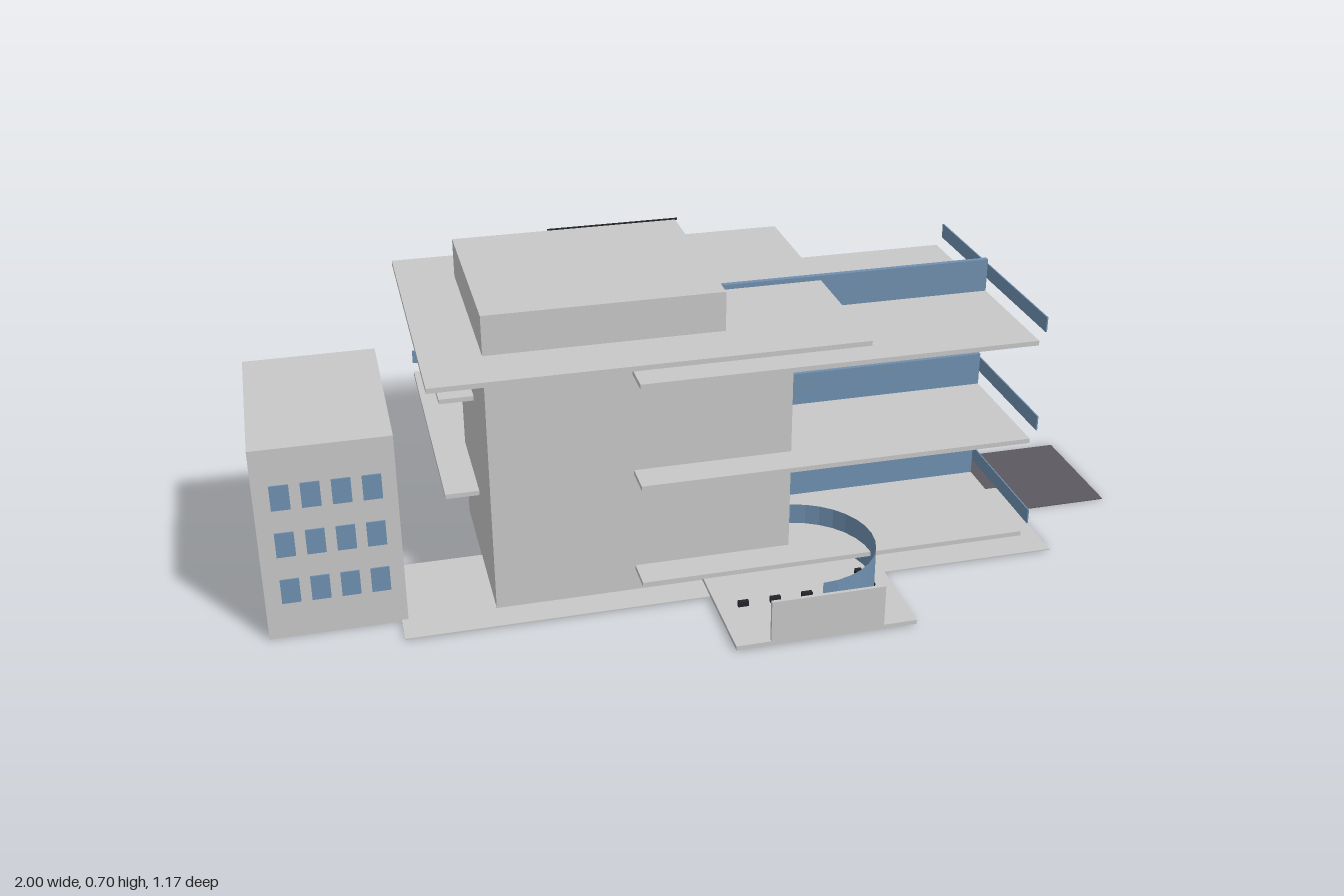
import * as THREE from 'three';

export function createModel() {
  const model = new THREE.Group();
  model.name = 'terracedBuilding';

  const material = (name, color) => {
    const m = new THREE.MeshStandardMaterial({ color });
    m.name = name;
    return m;
  };
  const concrete = material('concrete grey', 0xc8c8c8);
  const glass = material('glass blue', 0x7090b0);
  const asphalt = material('asphalt', 0x5c5a60);
  const metal = material('dark metal', 0x222428);
  const curvedGlass = material('curved glass blue', 0x7090b0);
  curvedGlass.side = THREE.DoubleSide;

  // Box given by its extents along x, y and z
  function block(name, mat, [x0, x1], [y0, y1], [z0, z1], parent = model) {
    const mesh = new THREE.Mesh(new THREE.BoxGeometry(x1 - x0, y1 - y0, z1 - z0), mat);
    mesh.position.set((x0 + x1) / 2, (y0 + y1) / 2, (z0 + z1) / 2);
    mesh.name = name;
    parent.add(mesh);
  }
  function group(name) {
    const g = new THREE.Group();
    g.name = name;
    model.add(g);
    return g;
  }

  // Ground
  block('road', asphalt, [0.21, 1], [0, 0.002], [-0.11, 0.18]);
  block('groundSlab', concrete, [-0.72, 0.77], [0.001, 0.004], [0.07, 0.37]);

  // Main volume, roof and penthouse
  block('core', concrete, [-0.513, 0.155], [0, 0.602], [-0.148, 0.3]);
  block('roofSlab', concrete, [-0.642, 0.285], [0.602, 0.613], [-0.277, 0.425]);
  block('penthouse', concrete, [-0.513, 0.003], [0.613, 0.702], [-0.148, 0.3]);

  // Side balconies with a dividing wall and an outer glass rail
  for (const y of [0.055, 0.295, 0.535]) {
    const g = group('sideBalcony');
    block('slab', concrete, [-0.2, 0.69], [y, y + 0.011], [-0.223, 0.375], g);
    block('divider', glass, [0, 0.69], [y + 0.011, y + 0.089], [0.07, 0.082], g);
    block('rail', glass, [0.703, 0.706], [y + 0.03, y + 0.065], [-0.223, 0.375], g);
  }

  // Rear balconies
  for (const y of [0.176, 0.414]) {
    const g = group('rearBalcony');
    block('slab', concrete, [-0.59, 0.23], [y, y + 0.011], [-0.572, 0.095], g);
    block('divider', glass, [-0.186, -0.174], [y + 0.011, y + 0.089], [-0.572, -0.14], g);
    block('rail', glass, [-0.59, 0.23], [y + 0.03, y + 0.065], [-0.586, -0.583], g);
  }

  // Annex with a grid of front windows
  const annex = group('annex');
  block('annexBody', concrete, [-1, -0.705], [0, 0.453], [-0.15, 0.295], annex);
  for (const x of [-0.945, -0.882, -0.819, -0.756])
    for (const y of [0.115, 0.228, 0.34])
      block('window', glass, [x - 0.02, x + 0.02], [y - 0.029, y + 0.029], [0.295, 0.298], annex);

  // Entrance platform, front wall and half-round glass screen
  const entrance = group('entrance');
  block('platform', concrete, [-0.047, 0.358], [0.003, 0.013], [0.17, 0.584], entrance);
  block('frontWall', concrete, [0.03, 0.283], [0.013, 0.11], [0.576, 0.584], entrance);
  const arc = new THREE.CylinderGeometry(0.17, 0.17, 0.102, 16, 1, true, 0, Math.PI).toNonIndexed();
  arc.computeVertexNormals();
  const screen = new THREE.Mesh(arc, curvedGlass);
  screen.position.set(0.155, 0.064, 0.375);
  screen.name = 'curvedScreen';
  entrance.add(screen);

  // Low markers on the platform
  for (let i = 0; i < 5; i++) {
    const x = 0.01 + i * 0.073;
    block('marker', metal, [x - 0.012, x + 0.012], [0.013, 0.025], [0.432, 0.442], entrance);
  }
  block('marker', metal, [0.29, 0.305], [0.013, 0.025], [0.37, 0.39], entrance);

  // Roof railing at the rear edge
  const railing = group('roofRailing');
  block('handrail', metal, [-0.275, 0.04], [0.652, 0.656], [-0.281, -0.277], railing);
  for (let i = 0; i < 6; i++) {
    const x = -0.262 + i * 0.057;
    block('post', metal, [x - 0.002, x + 0.002], [0.606, 0.653], [-0.281, -0.277], railing);
  }

  return model;
}
